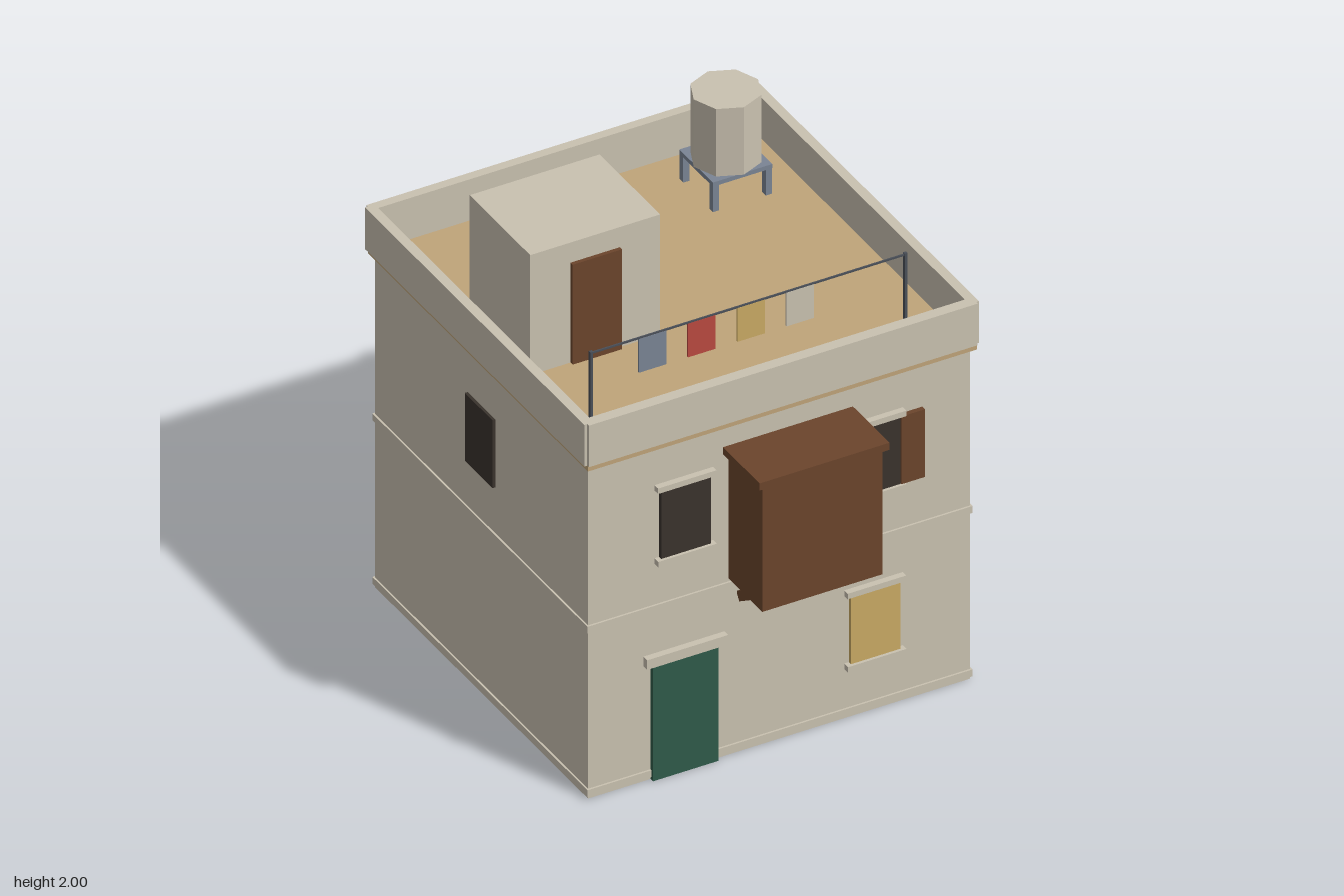
import * as THREE from 'three';

const mat = (name, color) => {
  const m = new THREE.MeshStandardMaterial({ color });
  m.name = name;
  return m;
};

export function createModel() {
  const model = new THREE.Group();
  model.name = 'townHouse';

  const stone = mat('stone', 0xc9c1b0);
  const sand = mat('sand', 0xbfa479);
  const wood = mat('wood', 0x6b452c);
  const dark = mat('darkGlass', 0x3a332d);
  const green = mat('greenPaint', 0x2f5a4a);
  const yellow = mat('yellowPaint', 0xc9a964);
  const red = mat('redCloth', 0xb94a40);
  const blue = mat('blueGrey', 0x7a8494);
  const metal = mat('metal', 0x4a4f58);

  // Box given by its limits along x, y and z
  const box = (name, m, x0, x1, y0, y1, z0, z1, parent = model) => {
    const mesh = new THREE.Mesh(new THREE.BoxGeometry(x1 - x0, y1 - y0, z1 - z0), m);
    mesh.position.set((x0 + x1) / 2, (y0 + y1) / 2, (z0 + z1) / 2);
    mesh.name = name;
    parent.add(mesh);
    return mesh;
  };

  const W = 0.795, F = 0.672, B = -0.905; // wall faces: side, front, back
  const FLOOR = 1.475;

  // Main block with string courses and the roof slab that shows as a trim
  box('walls', stone, -W, W, 0, 1.45, B, F);
  box('baseCourse', stone, -0.802, 0.802, 0.013, 0.043, B - 0.008, F + 0.008);
  box('middleCourse', stone, -0.802, 0.802, 0.728, 0.758, B - 0.008, F + 0.008);
  box('roofSlab', sand, -0.81, 0.81, 1.45, FLOOR, -0.93, 0.697);

  // Parapet
  for (const s of [-1, 1]) {
    const x = [s * 0.782, s * 0.822].sort((a, b) => a - b);
    box('sideParapet', stone, x[0], x[1], 1.473, 1.655, -0.932, 0.692);
  }
  box('frontParapet', stone, -0.81, 0.81, 1.473, 1.655, 0.658, 0.704);
  box('backParapet', stone, -0.81, 0.81, 1.473, 1.655, -0.943, -0.905);

  // Front openings
  box('frontDoor', green, -0.535, -0.262, 0, 0.503, F - 0.01, 0.69);
  box('doorLintel', stone, -0.565, -0.227, 0.503, 0.545, F - 0.01, 0.7);
  const frontWindow = (name, m, x, y) => {
    const g = new THREE.Group();
    g.name = name;
    model.add(g);
    box('pane', m, x - 0.103, x + 0.103, y, y + 0.296, F - 0.01, 0.688, g);
    box('lintel', stone, x - 0.122, x + 0.122, y + 0.296, y + 0.32, F - 0.01, 0.698, g);
    box('sill', stone, x - 0.122, x + 0.122, y - 0.025, y, F - 0.01, 0.7, g);
  };
  frontWindow('lowerShutteredWindow', yellow, 0.394, 0.239);
  frontWindow('upperWindowA', dark, -0.396, 0.96);
  frontWindow('upperWindowB', dark, 0.394, 0.96);
  box('openShutter', wood, 0.5, 0.597, 0.96, 1.256, F - 0.01, 0.692);

  // Back windows with sills, and one plain window on each side
  for (const x of [-0.395, 0.395]) {
    for (const y of [0.239, 0.96]) {
      box('backWindow', dark, x - 0.104, x + 0.104, y, y + 0.296, B - 0.016, B + 0.01);
      box('backSill', stone, x - 0.122, x + 0.122, y - 0.025, y, B - 0.028, B + 0.01);
    }
  }
  for (const x of [-W, W]) {
    box('sideWindow', dark, x - 0.012, x + 0.012, 0.96, 1.256, -0.22, -0.014);
  }

  // Wooden bay with cap and slanted brackets
  box('bay', wood, -0.21, 0.29, 0.77, 1.315, F - 0.01, 0.922);
  box('bayCap', wood, -0.233, 0.308, 1.321, 1.352, F - 0.01, 0.943);
  for (const x of [-0.155, 0.23]) {
    const b = box('bayBracket', wood, x - 0.02, x + 0.02, 0.725, 0.765, 0.66, 0.88);
    b.position.set(x, 0.745, 0.77);
    b.rotation.x = -0.58;
  }

  // Stair house on the roof
  box('stairHouse', stone, -0.703, -0.162, FLOOR, 2, -0.368, 0.08);
  box('stairDoor', wood, -0.535, -0.33, FLOOR, 1.912, 0.075, 0.096);

  // Water tank on a legged stand
  const tx = 0.518, tz = -0.642, half = 0.124;
  const tank = new THREE.Mesh(new THREE.CylinderGeometry(0.134, 0.134, 0.295, 8).toNonIndexed(), stone);
  tank.geometry.computeVertexNormals();
  tank.position.set(tx, 1.7525, tz);
  tank.name = 'waterTank';
  model.add(tank);
  box('tankStand', blue, tx - half, tx + half, 1.587, 1.605, tz - half, tz + half);
  for (const sx of [-1, 1]) for (const sz of [-1, 1]) {
    const x = tx + sx * 0.11, z = tz + sz * 0.11;
    box('standLeg', blue, x - 0.013, x + 0.013, FLOOR, 1.59, z - 0.013, z + 0.013);
  }

  // Washing line
  const lz = 0.444;
  for (const x of [-0.655, 0.655]) {
    box('linePost', metal, x - 0.006, x + 0.006, FLOOR, 1.777, lz - 0.006, lz + 0.006);
  }
  box('washingLine', metal, -0.655, 0.655, 1.766, 1.773, lz - 0.003, lz + 0.003);
  [blue, red, yellow, stone].forEach((m, i) => {
    const x = -0.4 + i * 0.205;
    box('cloth', m, x - 0.057, x + 0.057, 1.62, 1.767, lz - 0.004, lz + 0.004);
  });

  return model;
}
